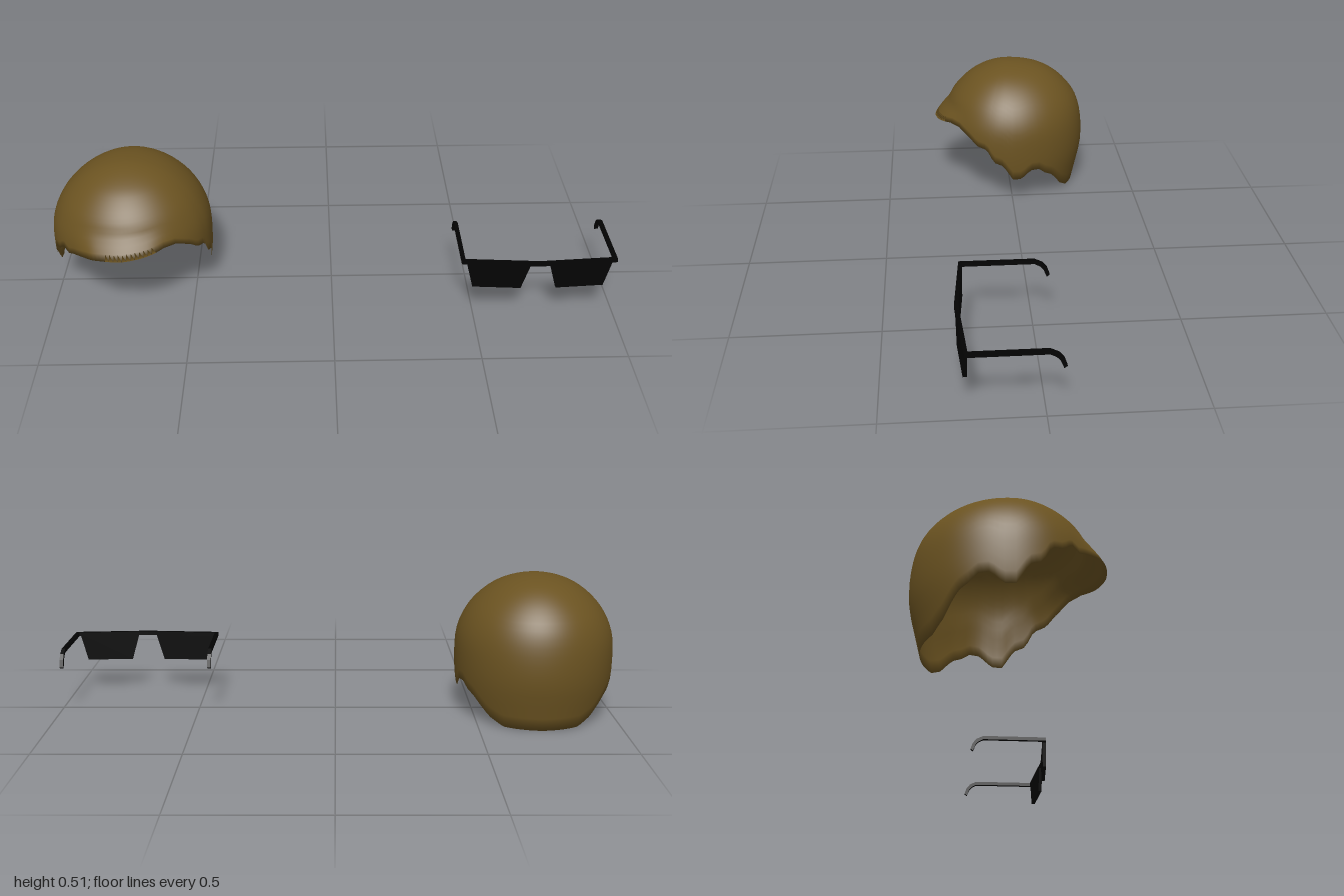
import * as THREE from 'three';

const TOP = 0.507;
const hairMat = new THREE.MeshStandardMaterial({ color: 0x6b5321, side: THREE.DoubleSide });
const blackMat = new THREE.MeshStandardMaterial({ color: 0x030303 });

// Smooth radius profile from [y, radius] pairs, keyed by sqrt(depth) so the crown is round
function profile(points) {
  const keys = points.map(([y]) => Math.sqrt(TOP - y));
  const interpolant = new THREE.CubicInterpolant(keys, points.map((p) => p[1]), 1);
  return (u) => interpolant.evaluate(u)[0];
}

function lerpTable(table, x) {
  for (let i = 1; i < table.length; i++) {
    const [x0, y0] = table[i - 1], [x1, y1] = table[i];
    if (x <= x1) return y0 + (y1 - y0) * (x - x0) / (x1 - x0);
  }
  return table[table.length - 1][1];
}

// Hair shell: elliptical rings from the crown down to an uneven hairline, then back up inside
function createHair() {
  const front = profile([[TOP, 0], [0.496, 0.07], [0.482, 0.109], [0.462, 0.148], [0.437, 0.18],
    [0.407, 0.21], [0.375, 0.234], [0.34, 0.25], [0.3, 0.265], [0.23, 0.275], [0.09, 0.272]]);
  const back = profile([[TOP, 0], [0.497, 0.097], [0.482, 0.145], [0.462, 0.182], [0.438, 0.214],
    [0.405, 0.246], [0.363, 0.275], [0.284, 0.298], [0.163, 0.301], [0.08, 0.284], [0, 0.266]]);
  const side = profile([[TOP, 0], [0.497, 0.077], [0.48, 0.125], [0.44, 0.187], [0.38, 0.241],
    [0.3, 0.276], [0.22, 0.283], [0.1, 0.275], [0, 0.25]]);

  // Hairline height by angle in degrees from the front; the fringe differs left and right
  const sides = [[59, 0.235], [68, 0.226], [74, 0.173], [82, 0.16], [90, 0.098], [97, 0.098],
    [104, 0.135], [111, 0.135], [117, 0.112], [124, 0.095], [137, 0.032], [149, 0.003], [180, 0]];
  const leftLine = [[0, 0.28], [15, 0.287], [30, 0.298], [39, 0.293], [52, 0.262], ...sides];
  const rightLine = [[0, 0.28], [15, 0.279], [28, 0.273], [39, 0.259], [45, 0.248], [52, 0.262], ...sides];

  const cols = 120, rows = 22, thickness = 0.015, pos = [], index = [];
  for (let i = 0; i <= 2 * rows; i++) {
    const t = (i <= rows ? i : 2 * rows - i) / rows;
    // The inner wall tapers to meet the outer one at the hairline
    const inset = i <= rows ? 0 : thickness * Math.min(1, (1 - t) * 6);
    for (let j = 0; j < cols; j++) {
      const deg = -180 + j * 360 / cols, a = THREE.MathUtils.degToRad(deg);
      const edge = lerpTable(deg < 0 ? rightLine : leftLine, Math.abs(deg));
      const u = Math.sqrt(TOP - edge) * t, y = TOP - u * u;
      const c = Math.cos(a);
      // The fringe juts forward in the middle
      const jut = 0.034 * THREE.MathUtils.clamp((0.345 - y) / 0.065, 0, 1)
        * (1 - THREE.MathUtils.smoothstep(Math.abs(deg), 20, 46));
      const rx = side(u), rz = c > 0 ? front(u) + jut : back(u);
      const shrink = 1 - inset / 0.28;
      pos.push(rx * shrink * Math.sin(a), y - inset * (1 - t), rz * shrink * c);
      if (i === 2 * rows) continue;
      const k = i * cols + j, kn = i * cols + (j + 1) % cols;
      if (i < 2 * rows - 1) index.push(k, k + cols, kn + cols);
      if (i > 0) index.push(k, kn + cols, kn);
    }
  }
  const geo = new THREE.BufferGeometry();
  geo.setAttribute('position', new THREE.Float32BufferAttribute(pos, 3));
  geo.setIndex(index);
  geo.computeVertexNormals();
  const hair = new THREE.Mesh(geo, hairMat);
  hair.name = 'hair';
  hair.position.x = -0.717;
  return hair;
}

function extrude(points, depth) {
  const shape = new THREE.Shape(points.map(([x, y]) => new THREE.Vector2(x, y)));
  return new THREE.ExtrudeGeometry(shape, { depth, bevelEnabled: false }).translate(0, 0, -depth / 2);
}

function add(parent, name, geo) {
  const mesh = new THREE.Mesh(geo, blackMat);
  mesh.name = name;
  parent.add(mesh);
  return mesh;
}

// Glasses: two slanted front halves and two hooked temples
function createGlasses() {
  const glasses = new THREE.Group();
  glasses.name = 'glasses';
  glasses.position.x = 0.722;
  // Temple outline in (z, y)
  const temple = [[0.24, 0.226], [-0.008, 0.226], [-0.035, 0.213], [-0.05, 0.195], [-0.059, 0.17],
    [-0.049, 0.163], [-0.038, 0.19], [-0.027, 0.202], [-0.008, 0.212], [0.24, 0.212]];
  const lens = [[0.032, 0.222], [0.257, 0.222], [0.231, 0.118], [0.062, 0.118]];

  for (const s of [1, -1]) {
    const label = s > 0 ? 'left' : 'right';
    const half = new THREE.Group();
    half.name = label + 'Front';
    half.position.z = 0.256;
    half.rotation.y = s * 0.075;
    add(half, label + 'Brow', new THREE.BoxGeometry(0.273, 0.014, 0.013).translate(s * 0.1365, 0.219, 0));
    add(half, label + 'Lens', extrude(lens.map(([x, y]) => [s * x, y]), 0.013));
    glasses.add(half);

    const arm = add(glasses, label + 'Temple', extrude(temple, 0.013).rotateY(-Math.PI / 2));
    arm.position.x = s * 0.266;
  }
  return glasses;
}

export function createModel() {
  const model = new THREE.Group();
  model.name = 'hairAndGlasses';
  model.add(createHair(), createGlasses());
  return model;
}
